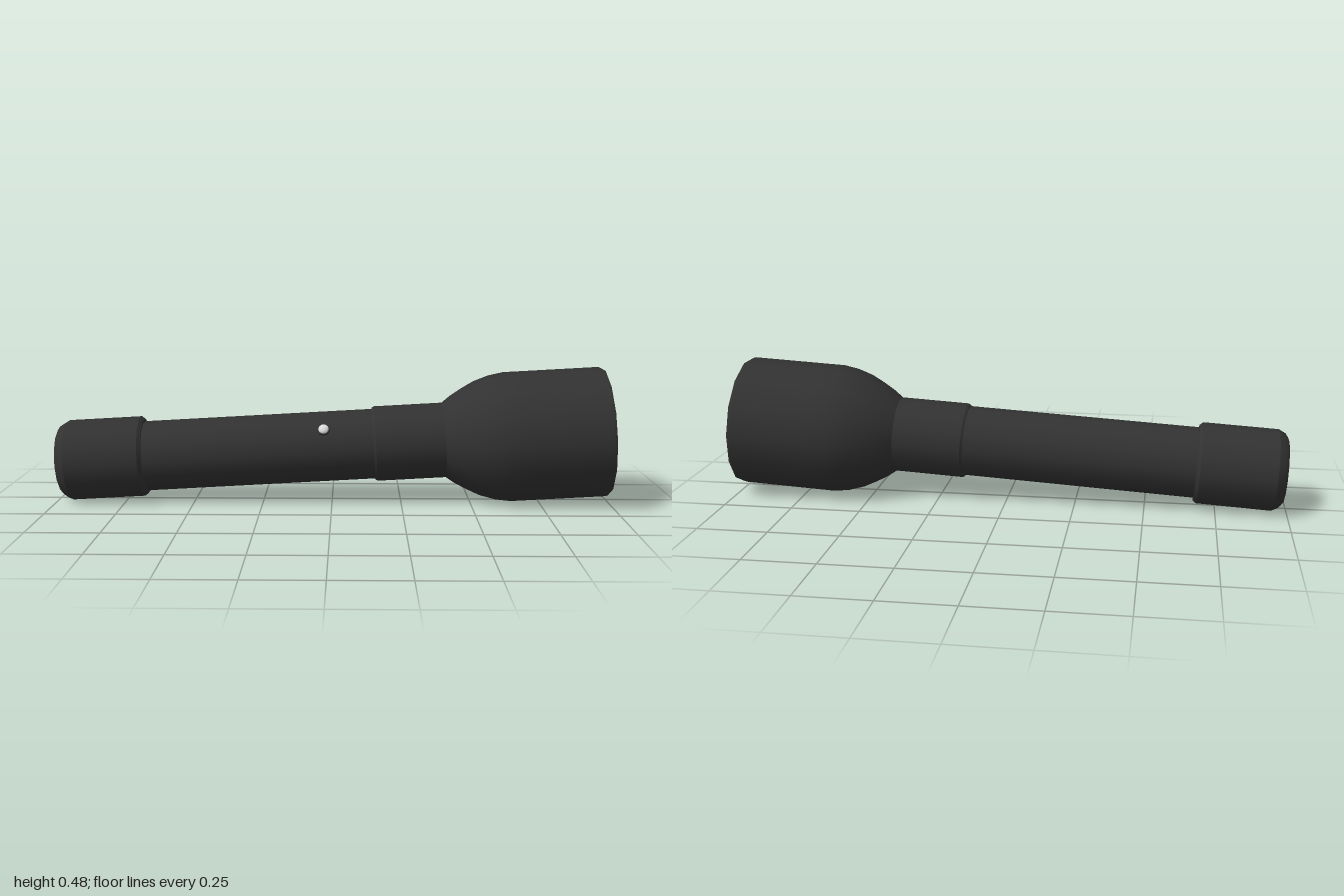
import * as THREE from 'three';

const SIDES = 14;

export function createModel() {
  const black = new THREE.MeshStandardMaterial({ color: 0x323232 });
  black.name = 'black casing';
  const white = new THREE.MeshStandardMaterial({ color: 0xdcdcdc });
  white.name = 'pale lens';

  const torch = new THREE.Group();
  torch.name = 'flashlight';
  // resting on tail and head, so the axis tilts slightly upwards
  torch.position.y = 0.199;
  torch.rotation.z = THREE.MathUtils.degToRad(3.3);

  // Turned part along x from [x, radius] points; each run is smooth, runs meet at sharp edges
  function turned(name, runs, material = black) {
    const group = new THREE.Group();
    group.name = name;
    for (const run of runs) {
      const points = run.map(([x, r]) => new THREE.Vector2(r, x));
      const mesh = new THREE.Mesh(new THREE.LatheGeometry(points, SIDES), material);
      mesh.name = name;
      mesh.rotation.z = -Math.PI / 2;
      group.add(mesh);
    }
    torch.add(group);
  }

  turned('tailCap', [
    [[-0.993, 0], [-0.993, 0.118]],
    [[-0.993, 0.118], [-0.982, 0.133], [-0.958, 0.146]],
    [[-0.958, 0.146], [-0.692, 0.146]],
    [[-0.692, 0.146], [-0.68, 0.136]],
    [[-0.68, 0.136], [-0.68, 0.125]],
  ]);
  turned('handle', [[[-0.69, 0.127], [0.16, 0.127]]]);
  turned('neck', [
    [[0.15, 0.126], [0.15, 0.131]],
    [[0.15, 0.131], [0.158, 0.136]],
    [[0.158, 0.136], [0.406, 0.136]],
  ]);
  turned('head', [
    [[0.406, 0.136], [0.435, 0.158], [0.475, 0.182], [0.525, 0.208], [0.58, 0.226],
      [0.635, 0.235], [0.7, 0.235], [0.978, 0.235]],
    [[0.978, 0.235], [0.986, 0.233]],
  ]);
  turned('rim', [
    [[0.986, 0.233], [0.986, 0.199]],
    [[0.986, 0.199], [0.974, 0.194]],
  ]);
  turned('lens', [[[0.975, 0.195], [0.975, 0]]], white);

  // Push button on the flat facing front and up
  const button = new THREE.Group();
  button.name = 'button';
  button.position.x = -0.025;
  button.rotation.x = (4 * Math.PI) / SIDES;
  const collar = new THREE.Mesh(new THREE.CylinderGeometry(0.022, 0.024, 0.01, 10), black);
  collar.name = 'buttonCollar';
  collar.position.y = 0.125;
  const cap = new THREE.Mesh(
    new THREE.SphereGeometry(0.019, 10, 4, 0, Math.PI * 2, 0, Math.PI / 2), white);
  cap.name = 'buttonCap';
  cap.scale.y = 0.5;
  cap.position.y = 0.13;
  button.add(collar, cap);
  torch.add(button);

  const model = new THREE.Group();
  model.name = 'model';
  model.add(torch);
  return model;
}
